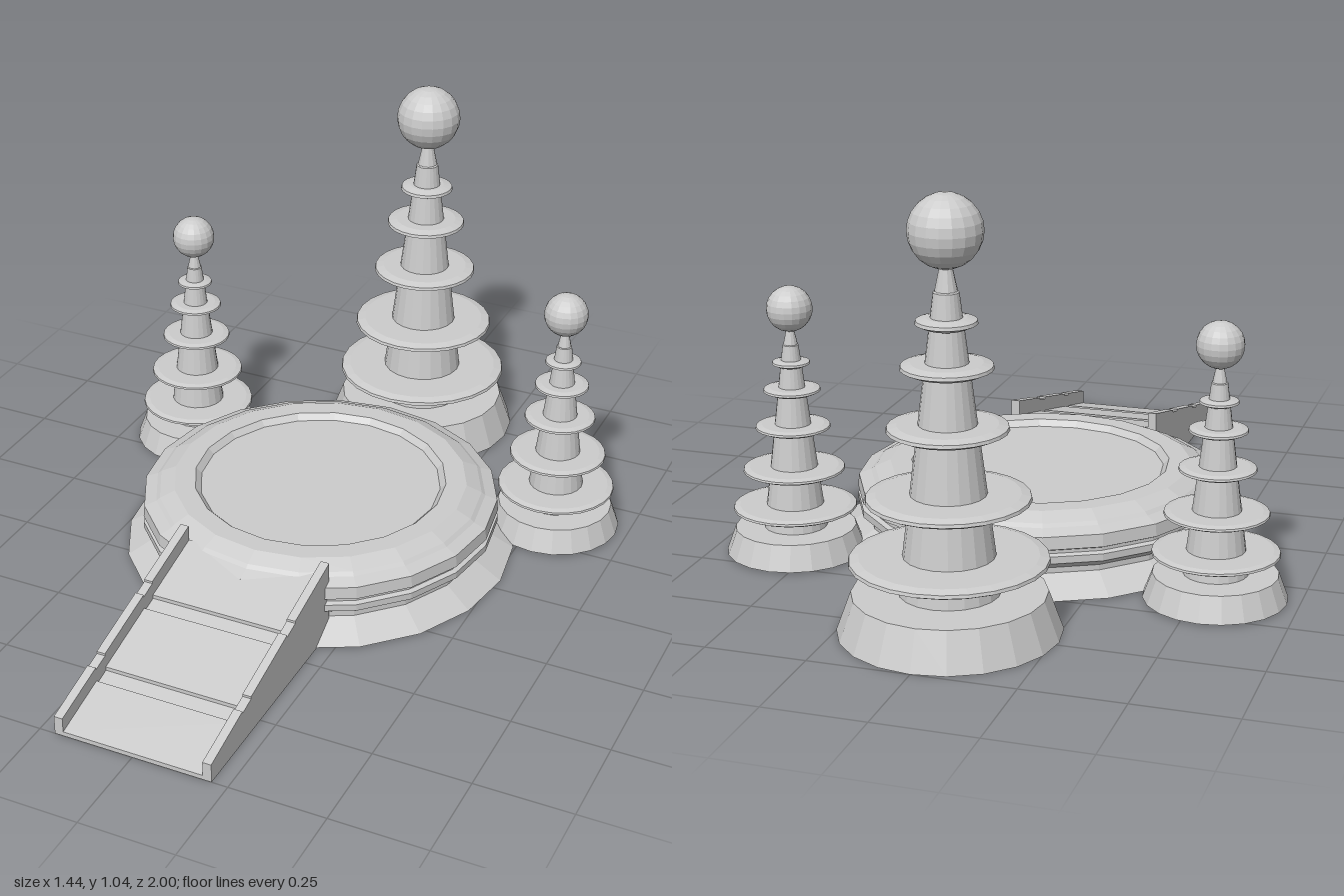
import * as THREE from 'three';

const material = new THREE.MeshStandardMaterial({ color: 0xcccccc, flatShading: true });

function addMesh(parent, name, geometry) {
  const mesh = new THREE.Mesh(geometry, material);
  mesh.name = name;
  parent.add(mesh);
  return mesh;
}

function lathe(points, sides) {
  return new THREE.LatheGeometry(points.map(([r, y]) => new THREE.Vector2(r, y)), sides);
}

// Tiered tower: flared foot, tapering trunk ringed by discs, ball finial
function createTower(name) {
  const tower = new THREE.Group();
  tower.name = name;
  const trunkRadius = (y) => 0.12 - 0.126 * (y - 0.095);

  addMesh(tower, 'towerFoot', lathe([[0, 0], [0.265, 0], [0.23, 0.095], [0, 0.095]], 20));
  addMesh(tower, 'trunk', lathe([
    [trunkRadius(0.09), 0.09], [trunkRadius(0.81), 0.81],
    [0.018, 0.82], [0.014, 0.88],
  ], 20));

  // Discs as [height, radius]
  const tiers = [[0.175, 0.235], [0.325, 0.193], [0.492, 0.142], [0.637, 0.108], [0.742, 0.072]];
  for (const [y, r] of tiers) {
    const inner = trunkRadius(y) - 0.005;
    addMesh(tower, 'tierDisc', lathe([
      [inner, y - 0.014], [r - 0.022, y - 0.014], [r, y - 0.004],
      [r - 0.002, y + 0.004], [r - 0.025, y + 0.01], [inner, y + 0.01],
    ], 24));
  }

  // Narrow neck under the ball
  const neck = addMesh(tower, 'neck', new THREE.CylinderGeometry(0.014, 0.028, 0.065, 12));
  neck.position.y = 0.84;
  const ball = addMesh(tower, 'ball', new THREE.SphereGeometry(0.087, 18, 12));
  ball.position.y = 0.95;
  return tower;
}

// Extrudes a (z, y) side outline across x, centred on x
function sideExtrude(outline, width, x) {
  const shape = new THREE.Shape(outline.map(([z, y]) => new THREE.Vector2(-z, y)));
  const geometry = new THREE.ExtrudeGeometry(shape, { depth: width, bevelEnabled: false });
  geometry.translate(0, 0, -width / 2);
  geometry.rotateY(Math.PI / 2);
  geometry.translate(x, 0, 0);
  return geometry;
}

// Sloping ramp with two shallow cross grooves and a kerb on each side
function createRamp() {
  const ramp = new THREE.Group();
  ramp.name = 'ramp';
  const floor = (z) => 0.012 + 0.245 * (1 - z);
  const kerb = (z) => 0.05 + 0.25 * (1 - z);
  const grooves = [[0.84, 0.795], [0.6, 0.555]];

  function outline(height, depth, back) {
    const points = [[1, 0], [1, height(1)]];
    for (const [a, b] of grooves) {
      points.push([a, height(a)], [a, height(a) - depth], [b, height(b) - depth], [b, height(b)]);
    }
    points.push([back, height(back)], [back, 0]);
    return points.reverse();
  }

  addMesh(ramp, 'rampFloor', sideExtrude(outline(floor, 0.01, 0.36), 0.38, 0));
  for (const side of [-1, 1]) {
    addMesh(ramp, 'rampKerb', sideExtrude(outline(kerb, 0.006, 0.36), 0.023, side * 0.197));
  }
  return ramp;
}

export function createModel() {
  const model = new THREE.Group();
  model.name = 'towerPlatform';

  // Round platform: skirt, grooved side, raised rim and sunken floor
  const platform = addMesh(model, 'platform', lathe([
    [0, 0.003], [0.52, 0.003], [0.447, 0.048], [0.447, 0.062], [0.475, 0.082],
    [0.475, 0.1], [0.462, 0.104], [0.462, 0.112], [0.475, 0.118],
    [0.472, 0.15], [0.44, 0.162], [0.43, 0.17], [0.39, 0.188],
    [0.335, 0.188], [0.32, 0.172], [0, 0.172],
  ], 20));
  platform.position.z = -0.034;

  model.add(createRamp());

  const backTower = createTower('backTower');
  backTower.position.z = -0.735;
  model.add(backTower);

  for (const side of [-1, 1]) {
    const tower = createTower(side > 0 ? 'leftTower' : 'rightTower');
    tower.scale.setScalar(0.664);
    tower.position.set(side * 0.546, 0.004, -0.37);
    model.add(tower);
  }
  return model;
}
